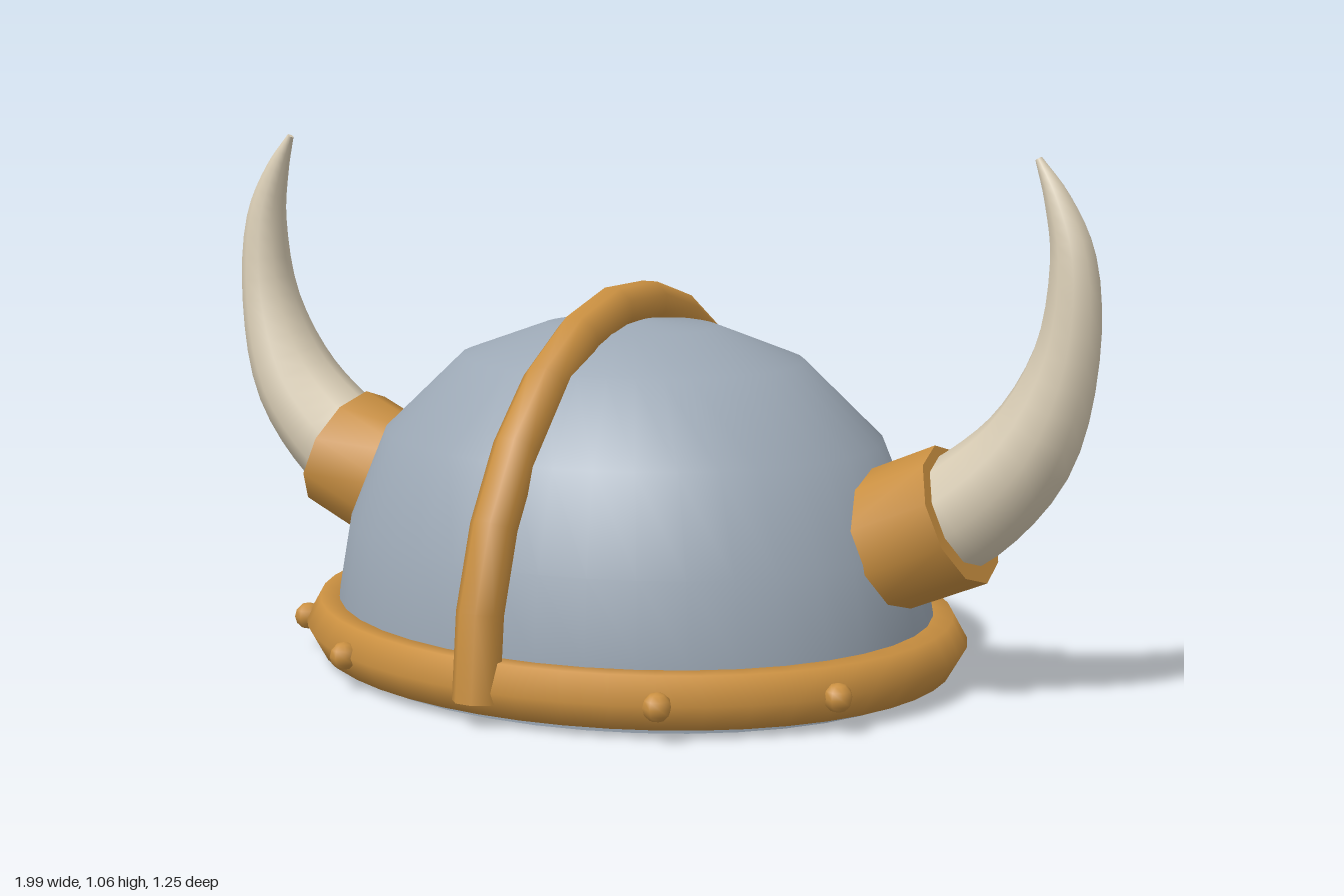
import * as THREE from 'three';

const mat = (name, color, side = THREE.FrontSide) => {
  const m = new THREE.MeshStandardMaterial({ color, side });
  m.name = name;
  return m;
};

// Sweeps a polygon along a planar path; each point is (x, y, radius).
function sweep(points, sides, phase = 0) {
  const pos = [], index = [];
  const last = points.length - 1;
  const addRing = (i) => {
    const a = points[Math.max(i - 1, 0)], b = points[Math.min(i + 1, last)], p = points[i];
    const len = Math.hypot(b.x - a.x, b.y - a.y);
    const tx = (b.x - a.x) / len, ty = (b.y - a.y) / len;
    const start = pos.length / 3;
    for (let j = 0; j < sides; j++) {
      const ang = phase + (j / sides) * Math.PI * 2;
      const c = Math.cos(ang) * p.z;
      pos.push(p.x - ty * c, p.y + tx * c, Math.sin(ang) * p.z);
    }
    return start;
  };
  for (let i = 0; i <= last; i++) addRing(i);
  for (let i = 0; i < last; i++) {
    for (let j = 0; j < sides; j++) {
      const a = i * sides + j, b = i * sides + ((j + 1) % sides);
      index.push(a, b, a + sides, b, b + sides, a + sides);
    }
  }
  // end caps with their own vertices, so the edges stay sharp
  for (const end of [0, last]) {
    const s = addRing(end);
    for (let j = 1; j < sides - 1; j++) {
      if (end) index.push(s, s + j, s + j + 1);
      else index.push(s, s + j + 1, s + j);
    }
  }
  const g = new THREE.BufferGeometry();
  g.setAttribute('position', new THREE.Float32BufferAttribute(pos, 3));
  g.setIndex(index);
  g.computeVertexNormals();
  return g;
}

export function createModel() {
  const model = new THREE.Group();
  model.name = 'hornedHelmet';
  const steel = mat('steel', 0x9ca8b5, THREE.DoubleSide);
  const bronze = mat('bronze', 0xc98f40);
  const ivory = mat('ivory', 0xd8ccb4);

  const add = (name, geometry, material, parent = model) => {
    const mesh = new THREE.Mesh(geometry, material);
    mesh.name = name;
    parent.add(mesh);
    return mesh;
  };
  const depth = 0.846; // the plan is an oval

  // Dome and its closed underside
  const profile = [[0.635, 0], [0.638, 0.13], [0.61, 0.285], [0.53, 0.475],
    [0.365, 0.63], [0.185, 0.695], [0, 0.712]].map(([x, y]) => new THREE.Vector2(x, y));
  add('dome', new THREE.LatheGeometry(profile, 40).scale(1, 1, depth), steel);
  add('underside', new THREE.CircleGeometry(0.635, 40).rotateX(Math.PI / 2).scale(1, 1, depth), steel);

  // Rim band with a six-sided section
  add('rim', new THREE.TorusGeometry(0.65, 0.06, 6, 48).rotateX(Math.PI / 2).scale(1, 1, depth), bronze);
  model.getObjectByName('rim').position.y = 0.07;

  // Crest band arching from front to back
  const arch = [];
  for (let i = 0; i <= 13; i++) {
    const a = (i / 13) * Math.PI;
    arch.push(new THREE.Vector3(0.583 * Math.cos(a), 0.045 + 0.695 * Math.sin(a), 0.046));
  }
  add('crest', sweep(arch, 8, Math.PI / 8).rotateY(Math.PI / 2), bronze);

  // Horns in their collars
  const collar = [[0.53, 0.287, 0.141], [0.73, 0.375, 0.141]].map((p) => new THREE.Vector3(...p));
  const hornPath = new THREE.CatmullRomCurve3([
    [0.66, 0.345, 0.112], [0.74, 0.39, 0.11], [0.862, 0.515, 0.094], [0.932, 0.695, 0.064],
    [0.939, 0.875, 0.044], [0.905, 0.985, 0.025], [0.867, 1.058, 0.007],
  ].map((p) => new THREE.Vector3(...p)));
  for (const side of ['left', 'right']) {
    const horn = new THREE.Group();
    horn.name = side + 'HornAssembly';
    if (side === 'right') horn.rotation.y = Math.PI;
    add(side + 'Collar', sweep(collar, 10), bronze, horn);
    add(side + 'Horn', sweep(hornPath.getPoints(24), 10), ivory, horn);
    model.add(horn);
  }

  // Rivets on the front half of the rim
  for (const s of [-1, 1]) {
    for (const [x, z] of [[0.355, 0.52], [0.615, 0.297]]) {
      add('rivet', new THREE.SphereGeometry(0.028, 8, 6), bronze).position.set(s * x, 0.07, z);
    }
  }
  return model;
}
